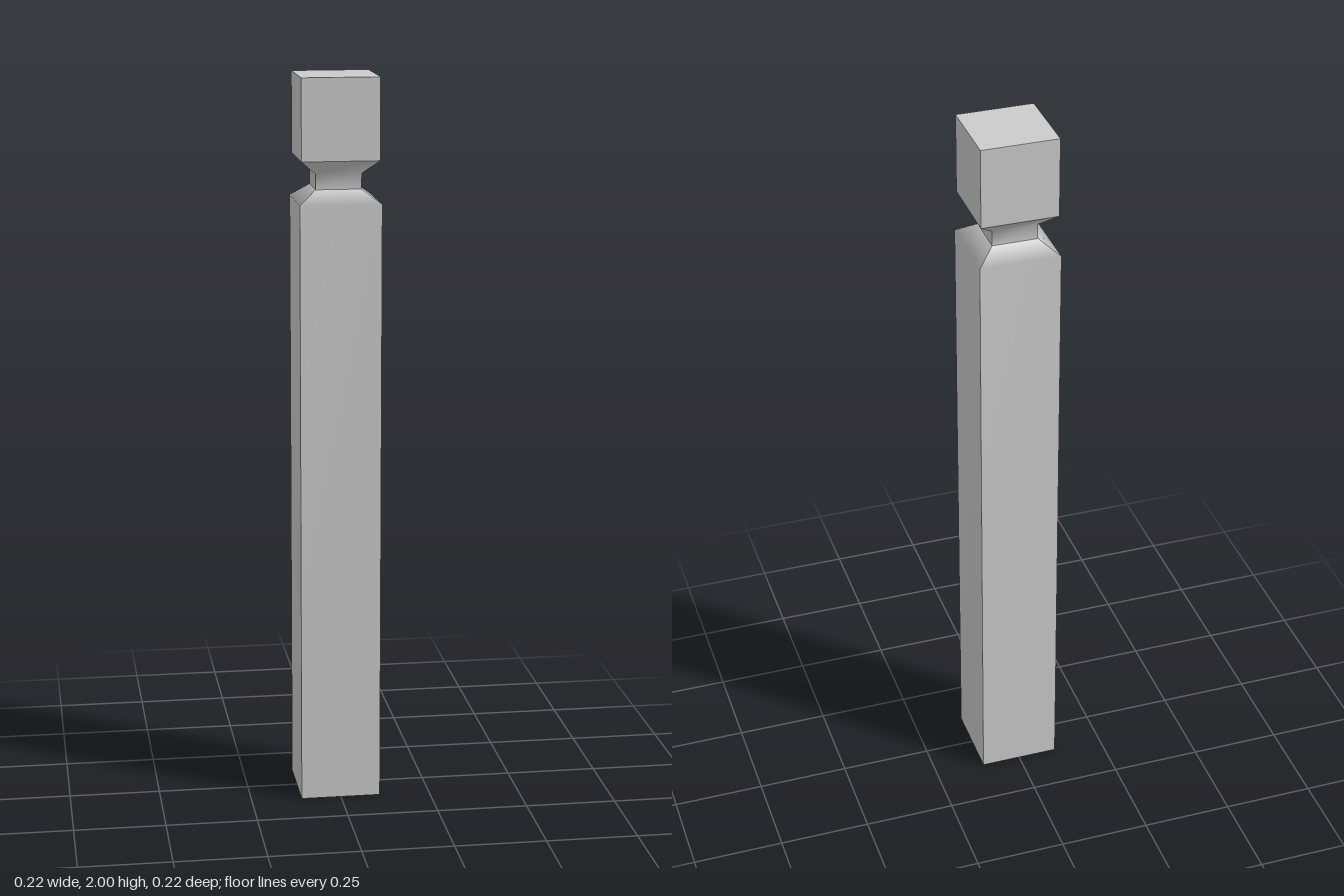
import * as THREE from 'three';
import { mergeGeometries } from 'three/addons/utils/BufferGeometryUtils.js';

// One face of a square-section part: profile of [halfWidth, y], smooth along its height
function sideFace(profile) {
  const positions = [], index = [];
  profile.forEach(([r, y], i) => {
    positions.push(-r, y, r, r, y, r);
    if (i > 0) {
      const a = (i - 1) * 2;
      index.push(a, a + 1, a + 3, a, a + 3, a + 2);
    }
  });
  const g = new THREE.BufferGeometry();
  g.setAttribute('position', new THREE.Float32BufferAttribute(positions, 3));
  g.setIndex(index);
  g.computeVertexNormals();
  return g;
}

// Flat square lid, facing up or down
function cap(r, y, up) {
  const g = new THREE.PlaneGeometry(2 * r, 2 * r);
  g.deleteAttribute('uv');
  return g.rotateX(up ? -Math.PI / 2 : Math.PI / 2).translate(0, y, 0);
}

// Four faces with sharp corners between them, plus any caps
function squarePart(name, profile, caps, material) {
  const faces = [0, 1, 2, 3].map((i) => sideFace(profile).rotateY((i * Math.PI) / 2));
  const mesh = new THREE.Mesh(mergeGeometries([...faces, ...caps]), material);
  mesh.name = name;
  return mesh;
}

export function createModel() {
  const group = new THREE.Group();
  group.name = 'post';
  const material = new THREE.MeshStandardMaterial({ color: 0xcccccc });

  const body = 0.11, neck = 0.062, head = 0.105;

  group.add(
    // Long shaft with sloped shoulder
    squarePart('shaft', [[body, 0], [body, 1.665], [neck, 1.7]], [cap(body, 0, false)], material),
    // Narrow neck flaring out to the head
    squarePart('neck', [[neck, 1.7], [neck, 1.742], [head, 1.78]], [], material),
    // Square block on top
    squarePart('head', [[head, 1.78], [head, 2]], [cap(head, 2, true)], material),
  );
  return group;
}
